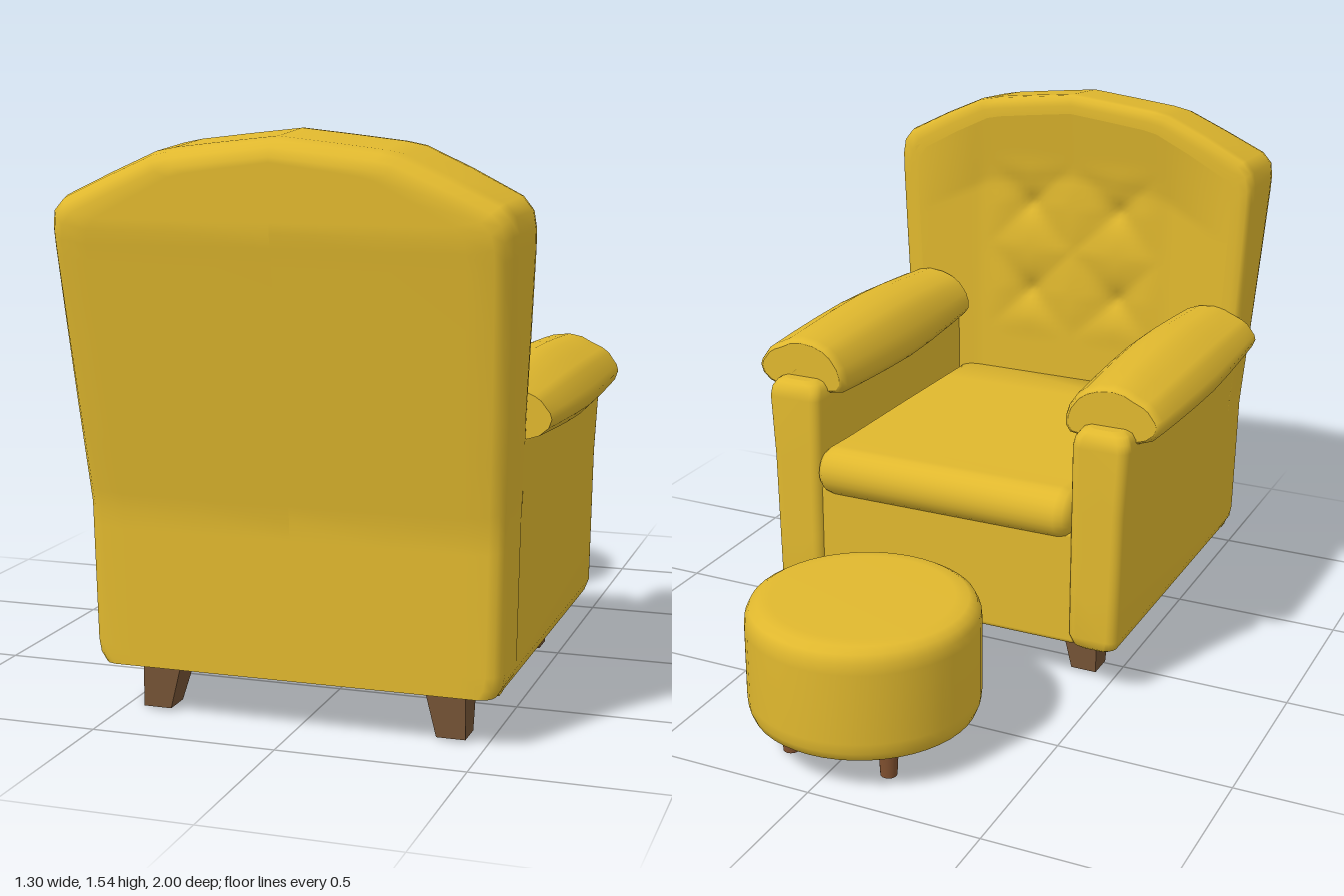
import * as THREE from 'three';
import { RoundedBoxGeometry } from 'three/addons/geometries/RoundedBoxGeometry.js';

const V = (x, y, z) => new THREE.Vector3(x, y, z);
const { lerp, smoothstep, clamp } = THREE.MathUtils;
const fabric = new THREE.MeshStandardMaterial({ color: 0xe0b82e, side: THREE.DoubleSide });
const wood = new THREE.MeshStandardMaterial({ color: 0x745335, flatShading: true });
const footWood = new THREE.MeshStandardMaterial({ color: 0x80502f });

function mesh(name, geometry, material, parent) {
  const m = new THREE.Mesh(geometry, material);
  m.name = name;
  parent.add(m);
  return m;
}

// skin over a row of cross-sections; caps get their own vertices so the rim stays crisp
function loft(sections, { closed = true, capStart = false, capEnd = false } = {}) {
  const rings = sections.slice();
  const cap = (ring) => {
    const c = ring.reduce((a, p) => a.add(p), V(0, 0, 0)).divideScalar(ring.length);
    return ring.map(() => c);
  };
  if (capStart) rings.unshift(cap(rings[0]), rings[0]);
  if (capEnd) rings.push(rings.at(-1), cap(rings.at(-1)));
  const n = rings[0].length, index = [];
  for (let i = 0; i < rings.length - 1; i++)
    for (let j = 0; j < (closed ? n : n - 1); j++) {
      const k = (j + 1) % n, a = i * n + j, b = i * n + k;
      index.push(a, b, b + n, a, b + n, a + n);
    }
  const g = new THREE.BufferGeometry().setFromPoints(rings.flat());
  g.setIndex(index);
  g.computeVertexNormals();
  return g;
}

// rounded rectangle, counter-clockwise
function roundedRect(hw, hh, r) {
  const pts = [];
  [[1, 1], [-1, 1], [-1, -1], [1, -1]].forEach(([sx, sy], q) => {
    for (let i = 0; i <= 5; i++) {
      const a = (q + i / 5) * Math.PI / 2;
      pts.push([sx * (hw - r) + r * Math.cos(a), sy * (hh - r) + r * Math.sin(a)]);
    }
  });
  return pts;
}

// half outline of the backrest, bottom to crown
const half = [[0.53, 0.14], [0.546, 0.165], [0.552, 0.2], [0.556, 0.38], [0.559, 0.52], [0.56, 0.57], [0.563, 0.62],
  [0.571, 0.75], [0.577, 0.85], [0.588, 1.05], [0.598, 1.25], [0.599, 1.3], [0.592, 1.345], [0.565, 1.38],
  [0.44, 1.445], [0.32, 1.5], [0.27, 1.51], [0.14, 1.525]];
const outline = [...half, [0, 1.54], ...half.slice().reverse().map(([x, y]) => [-x, y])];
const backZ = (y) => (y < 0.57 ? 0.88 : Math.min(1, 0.88 + (y - 0.57) * 0.155));

// open-bottomed backrest shell: front rim, sides, rear face
function backrestShell() {
  const ring = (inset, t, fill = 1) => outline.map(([x, y]) => {
    const d = t < 0.5 ? inset * smoothstep(y, 0.7, 0.85) : inset;
    const yy = 0.14 + (y - 0.14) * (1 - d / 1.4) - 0.025 * t * smoothstep(y, 1.25, 1.5);
    return V(x * (1 - d / 0.57) * fill, yy, lerp(0.722, backZ(y), t));
  });
  return loft([ring(0.06, 0), ring(0.035, 0), ring(0.015, 0.015), ring(0.003, 0.06), ring(0, 0.15),
    ring(0, 0.75), ring(0.006, 0.87), ring(0.02, 0.96), ring(0.042, 1), ring(0.055, 1, 0.9), ring(0.055, 1, 0.5),
    ring(0.055, 1, 0)], { closed: false });
}

// inner panel sloping in from the wings, with four pinched tufts
function tuftedPanel() {
  const g = new THREE.PlaneGeometry(2, 1, 56, 56), p = g.attributes.position;
  const topAt = (x) => {
    const a = Math.abs(x);
    return a < 0.3 ? 1.485 - a * 0.12 : 1.449 - (a - 0.3) * 0.5;
  };
  for (let i = 0; i < p.count; i++) {
    const v = p.getY(i) + 0.5;
    const x = p.getX(i) * lerp(0.51, 0.545, v);
    const y = lerp(0.45, topAt(x), v);
    const inside = clamp((0.53 - Math.abs(x)) / 0.2, 0, 1) * clamp((topAt(x) - y) / 0.22, 0, 1);
    const X = x / 0.3, Y = (y - 1.02) / 0.29;
    const pillow = Math.min(Math.abs(Math.sin(Math.PI * (X + Y))), Math.abs(Math.sin(Math.PI * (X - Y))));
    const mask = (1 - smoothstep(Math.abs(X), 0.7, 1.1)) * (1 - smoothstep(Math.abs(Y), 0.7, 1.1));
    let pinch = 0;
    for (const bx of [-0.15, 0.15])
      for (const by of [0.875, 1.165]) pinch += Math.exp(-Math.hypot(x - bx, y - by) / 0.045);
    p.setXYZ(i, -x, y, 0.722 + 0.04 * inside + mask * (0.035 * pinch - 0.009 * pillow));
  }
  g.computeVertexNormals();
  return g;
}

// upright side panel under each arm: open below, its hidden inner wall slanting outward to the rear
function sidePanel() {
  const rows = [[0.14, 0.022], [0.15, 0.01], [0.18, 0], [0.33, 0], [0.42, 0], [0.57, 0], [0.76, 0],
    [0.785, 0.005], [0.803, 0.017], [0.81, 0.037]];
  return loft(rows.map(([y, inset]) => {
    const outer = 0.5505 + 0.022 * (y - 0.17) + 0.037 * Math.max(0, y - 0.57), hw = (outer - 0.4) / 2;
    return roundedRect(hw - inset, 0.53 - inset, 0.03).map(([u, w]) =>
      V(u < 0 && w < 0 && y < 0.4 ? outer - 0.015 : (outer + 0.4) / 2 + u, y, 0.32 - w));
  }), { capEnd: true });
}

// faceted arm pad draped over the side panel: rows of z, width scale, height scale
function armPad() {
  const section = [[0.155, -0.008], [0.15, 0.012], [0.125, 0.05], [0.105, 0.066], [0.072, 0.082], [0.04, 0.1],
    [0, 0.108], [-0.05, 0.102], [-0.09, 0.085], [-0.118, 0.062], [-0.145, 0.02], [-0.155, -0.015], [-0.155, -0.045],
    [-0.14, -0.07], [-0.11, -0.075], [-0.085, -0.05], [0.075, -0.05], [0.085, -0.075], [0.12, -0.062], [0.146, -0.036]];
  const rows = [[-0.14, 0.84, 0.74], [-0.135, 0.89, 0.81], [-0.115, 0.935, 0.88], [0, 0.97, 0.94], [0.15, 1, 1],
    [0.3, 1.015, 1.03], [0.45, 0.99, 0.98], [0.6, 0.95, 0.88], [0.725, 0.91, 0.78]];
  return loft(rows.map(([z, sx, sy]) => section.map(([x, y]) => V(0.495 + x * sx, 0.832 + y * sy, z))),
    { capStart: true, capEnd: true });
}

// seat cushion with a rolled front edge
function seatCushion() {
  const ring = (x, inset) => {
    const pts = [], r = 0.075 - inset;
    for (let i = 0; i <= 12; i++) {
      const a = -Math.PI / 2 + Math.PI * i / 12;
      pts.push(V(x, 0.54 + r * Math.sin(a), -0.155 - r * Math.cos(a)));
    }
    for (const [z, y] of [[-0.05, 0.61], [0.3, 0.603], [0.6, 0.595], [0.79, 0.59]]) pts.push(V(x, y - inset, z));
    pts.push(V(x, 0.46 + inset, 0.79), V(x, 0.465 + inset, 0.3));
    return pts;
  };
  return loft([[-0.405, 0.04], [-0.4, 0.02], [-0.385, 0.006], [-0.36, 0], [0.36, 0], [0.385, 0.006],
    [0.4, 0.02], [0.405, 0.04]].map(([x, i]) => ring(x, i)), { capStart: true, capEnd: true });
}

// square leg: outer faces upright, inner faces tapering
function legGeometry(outerZ, dir) {
  const g = new THREE.BoxGeometry(1, 1, 1), p = g.attributes.position;
  for (let i = 0; i < p.count; i++) {
    const low = p.getY(i) < 0, size = low ? 0.077 : 0.115;
    const out = p.getZ(i) * dir > 0;
    p.setXYZ(i, p.getX(i) > 0 ? 0.443 : 0.443 - size, low ? 0.008 : 0.16, out ? outerZ : outerZ - dir * size);
  }
  g.computeVertexNormals();
  return g;
}

export function createModel() {
  const model = new THREE.Group();
  model.name = 'armchairAndFootstool';

  const chair = new THREE.Group();
  chair.name = 'armchair';
  model.add(chair);
  mesh('backrest', backrestShell(), fabric, chair);
  mesh('tuftedPanel', tuftedPanel(), fabric, chair);
  mesh('seatCushion', seatCushion(), fabric, chair);
  mesh('frontApron', new RoundedBoxGeometry(0.84, 0.35, 0.04, 3, 0.015), fabric, chair).position.set(0, 0.318, -0.17);
  mesh('undersidePanel', new THREE.BoxGeometry(1.07, 0.02, 1.02), fabric, chair).position.set(0, 0.34, 0.345);

  // arms and legs, mirrored
  for (const [side, sx] of [['left', 1], ['right', -1]]) {
    const sideGroup = new THREE.Group();
    sideGroup.name = side + 'Side';
    sideGroup.scale.x = sx;
    chair.add(sideGroup);
    mesh('sidePanel', sidePanel(), fabric, sideGroup);
    mesh('armPad', armPad(), fabric, sideGroup);
    mesh('backLeg', legGeometry(0.81, 1), wood, sideGroup);
    mesh('frontLeg', legGeometry(-0.08, -1), wood, sideGroup);
  }

  // round footstool
  const stool = new THREE.Group();
  stool.name = 'footstool';
  stool.position.z = -0.678;
  model.add(stool);
  const profile = [[0, 0.095], [0.27, 0.095], [0.292, 0.097], [0.31, 0.107], [0.319, 0.13], [0.322, 0.16], [0.322, 0.36],
    [0.319, 0.39], [0.308, 0.413], [0.287, 0.426], [0.25, 0.43], [0, 0.43]].map(([x, y]) => new THREE.Vector2(x, y));
  mesh('stoolCushion', new THREE.LatheGeometry(profile, 48), fabric, stool);
  for (const x of [-0.15, 0.15])
    for (const z of [-0.15, 0.15])
      mesh('stoolFoot', new THREE.CylinderGeometry(0.029, 0.023, 0.11, 16), footWood, stool).position.set(x, 0.055, z);

  return model;
}
